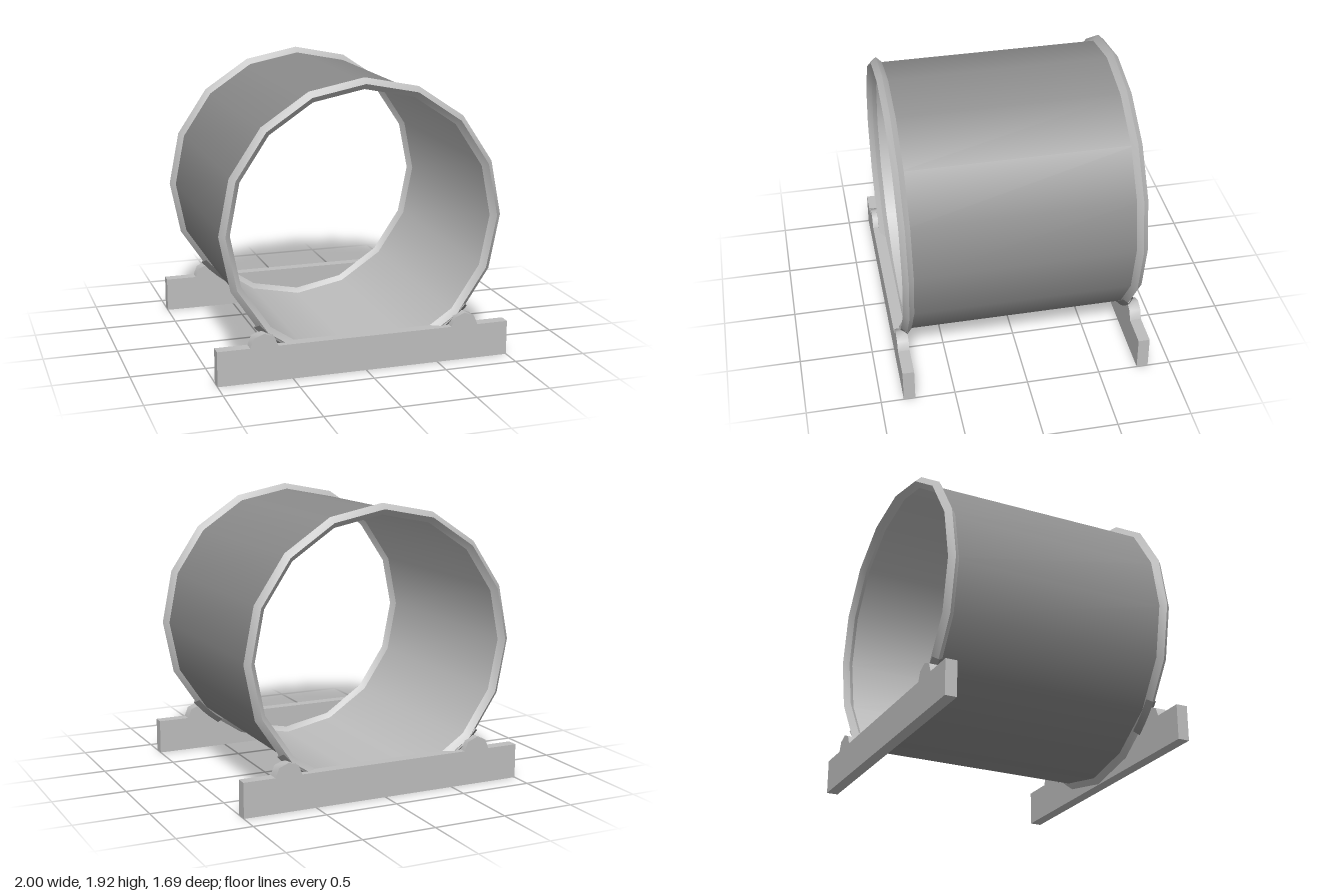
import * as THREE from 'three';
import { toCreasedNormals } from 'three/addons/utils/BufferGeometryUtils.js';

export function createModel() {
  const model = new THREE.Group();
  const lightGrey = new THREE.MeshStandardMaterial({ color: 0xbdbdbd });
  lightGrey.name = 'lightGrey';
  const darkGrey = new THREE.MeshStandardMaterial({ color: 0x8c8c8c, side: THREE.DoubleSide });
  darkGrey.name = 'darkGrey';

  const CENTRE = 0.964, RADIUS = 0.9225, RIM_Z = 0.77, TUBE = 0.0375;
  const FOOT_Z = 0.808, FOOT_DEPTH = 0.078;

  function add(name, geometry, material, x = 0, y = 0, z = 0) {
    const mesh = new THREE.Mesh(geometry, material);
    mesh.name = name;
    mesh.position.set(x, y, z);
    model.add(mesh);
  }

  // Thin open barrel: dark skin outside, light skin just inside it
  const skin = (radius, start, end) => new THREE.LatheGeometry(
    [new THREE.Vector2(radius, start), new THREE.Vector2(radius, end)], 16).rotateX(Math.PI / 2);
  add('barrelOutside', skin(RADIUS, -RIM_Z, RIM_Z), darkGrey, 0, CENTRE);
  add('barrelInside', skin(RADIUS - 0.004, RIM_Z, -RIM_Z), lightGrey, 0, CENTRE);

  // Stop profile: half of an eight-sided round
  const corners = [0, 1, 2, 3, 4].map((i) => new THREE.Vector2(
    0.095 * Math.cos((i * Math.PI) / 4), 0.095 * Math.sin((i * Math.PI) / 4)));
  const stopShape = new THREE.Shape(corners);

  for (const end of [1, -1]) {
    // Diamond-section rim
    const rim = toCreasedNormals(new THREE.TorusGeometry(RADIUS, TUBE, 4, 16), 0.7);
    add('rim', rim, lightGrey, 0, CENTRE, end * RIM_Z);

    // Foot plank
    add('footPlank', new THREE.BoxGeometry(2, 0.235, FOOT_DEPTH), lightGrey,
      0, 0.1175, end * FOOT_Z);

    for (const side of [1, -1]) {
      // Stop that keeps the barrel from rolling
      const stop = toCreasedNormals(
        new THREE.ExtrudeGeometry(stopShape, { depth: FOOT_DEPTH, bevelEnabled: false }), 0.9);
      add('stop', stop, lightGrey, side * 0.69, 0.23, end * FOOT_Z - FOOT_DEPTH / 2);

      // Dark pad wrapped round the rim beside the stop
      const arc = THREE.MathUtils.degToRad(15);
      const pad = toCreasedNormals(
        new THREE.TorusGeometry(RADIUS + 0.002, TUBE, 4, 3, arc), 0.7);
      const middle = THREE.MathUtils.degToRad(side > 0 ? -47.5 : -132.5);
      pad.rotateZ(middle - arc / 2);
      add('contactPad', pad, darkGrey, 0, CENTRE, end * RIM_Z);
    }
  }
  return model;
}
